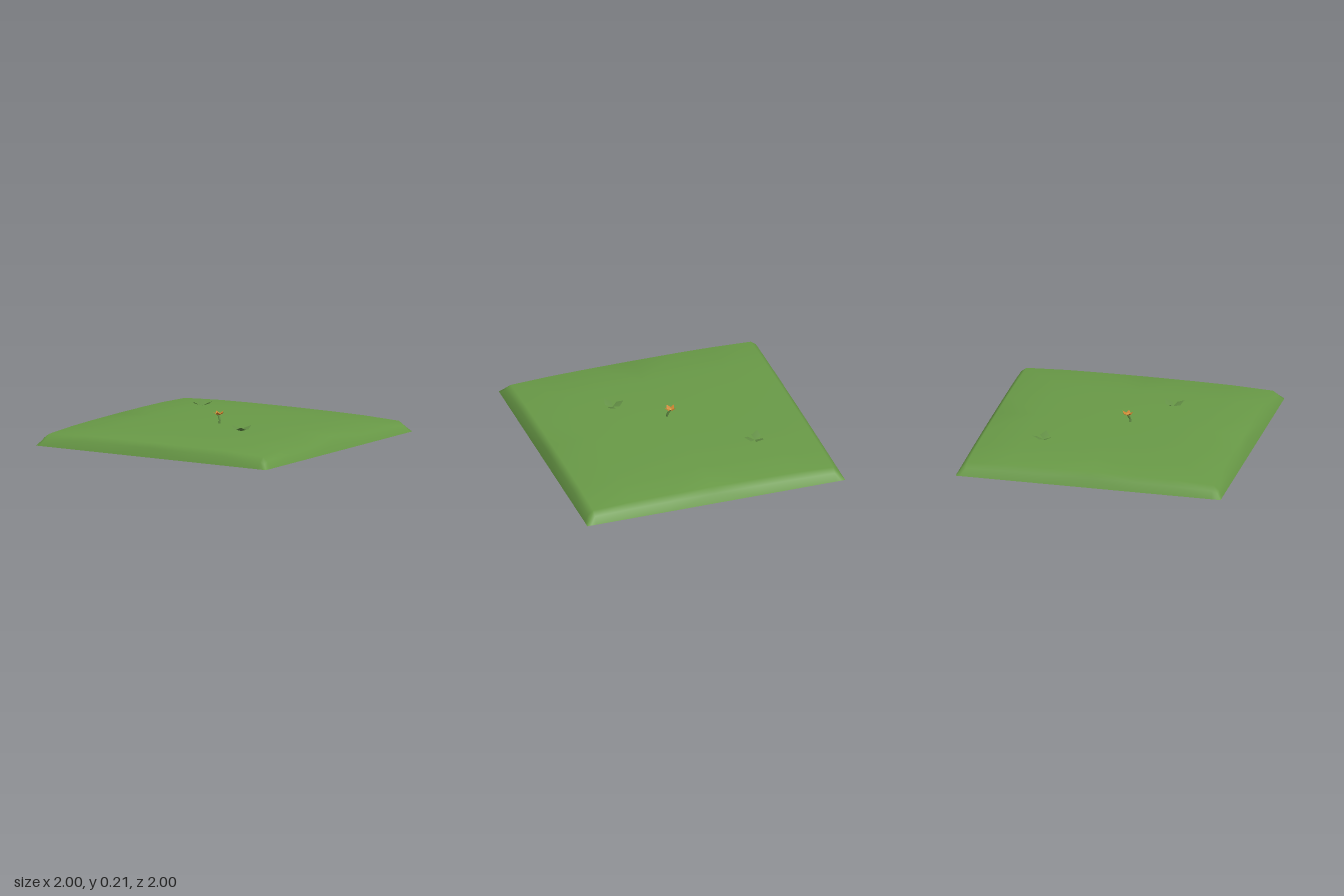
import * as THREE from 'three';

const mat = (name, color) => {
  const m = new THREE.MeshStandardMaterial({ color, side: THREE.DoubleSide });
  m.name = name;
  return m;
};

const mesh = (name, geometry, material) => {
  const m = new THREE.Mesh(geometry, material);
  m.name = name;
  return m;
};

// Edge profile of the mound: distance from centre, height
const PROFILE = [[0, 0.125], [0.35, 0.123], [0.62, 0.118], [0.93, 0.102], [0.97, 0.065], [1, 0]];

// Soft square mound, open underneath; heights of both directions are multiplied
function groundGeometry() {
  const line = [...PROFILE.slice(1).reverse().map(([d, h]) => [-d, h]), ...PROFILE];
  const n = line.length;
  const positions = [];
  const indices = [];
  for (const [z, hz] of line) for (const [x, hx] of line) positions.push(x, hx * hz / 0.125, z);
  for (let r = 0; r < n - 1; r++) {
    for (let c = 0; c < n - 1; c++) {
      const a = r * n + c, b = a + 1, d = a + n, e = d + 1;
      // Mirror the diagonals so that they run towards the corners
      if ((r < n / 2 - 0.5) === (c < n / 2 - 0.5)) indices.push(a, d, e, a, e, b);
      else indices.push(a, d, b, b, d, e);
    }
  }
  const g = new THREE.BufferGeometry();
  g.setAttribute('position', new THREE.Float32BufferAttribute(positions, 3));
  g.setIndex(indices);
  g.computeVertexNormals();
  return g;
}

// Four-cornered leaf pointing along +x and rising to its tip
function bladeGeometry(length, halfWidth, rise) {
  const g = new THREE.BufferGeometry();
  const m = length * 0.5;
  g.setAttribute('position', new THREE.Float32BufferAttribute([
    0, 0, 0, m, rise * 0.4, halfWidth, length, rise, 0, m, rise * 0.4, -halfWidth,
  ], 3));
  g.setIndex([0, 1, 2, 0, 2, 3]);
  g.computeVertexNormals();
  return g;
}

// Ring of blades around a centre
function whorl(name, count, geometry, material, turn = 0) {
  const group = new THREE.Group();
  group.name = name;
  for (let i = 0; i < count; i++) {
    const blade = mesh(name + 'Blade', geometry, material);
    blade.rotation.y = turn + i * Math.PI * 2 / count;
    group.add(blade);
  }
  return group;
}

export function createModel() {
  const model = new THREE.Group();
  model.name = 'grassTile';
  const grass = mat('grass green', 0x699a47);
  const leaf = mat('leaf green', 0x638f45);
  const orange = mat('petal orange', 0xc9822f);
  const yellow = mat('flower yellow', 0xe0b050);

  model.add(mesh('ground', groundGeometry(), grass));

  // Two three-leaved sprouts
  const leafGeometry = bladeGeometry(0.084, 0.036, 0.038);
  for (const [x, z, turn] of [[-0.485, -0.46, 0], [0.352, 0.318, Math.PI]]) {
    const sprout = whorl('sprout', 3, leafGeometry, leaf, turn);
    sprout.position.set(x, 0.134, z);
    model.add(sprout);
  }

  // Flower with a bent stem
  const flower = new THREE.Group();
  flower.name = 'flower';
  const path = new THREE.CatmullRomCurve3([
    new THREE.Vector3(0.008, 0.11, 0.08),
    new THREE.Vector3(0.012, 0.145, 0.074),
    new THREE.Vector3(-0.008, 0.185, 0.062),
  ]);
  flower.add(mesh('stem', new THREE.TubeGeometry(path, 4, 0.008, 5), leaf));
  const petals = whorl('petals', 5, bladeGeometry(0.044, 0.018, 0.03), orange);
  petals.position.set(-0.008, 0.18, 0.06);
  flower.add(petals);
  const heart = mesh('flowerHeart', new THREE.CylinderGeometry(0.011, 0.006, 0.009, 6), yellow);
  heart.position.set(-0.008, 0.187, 0.06);
  flower.add(heart);
  model.add(flower);

  return model;
}
